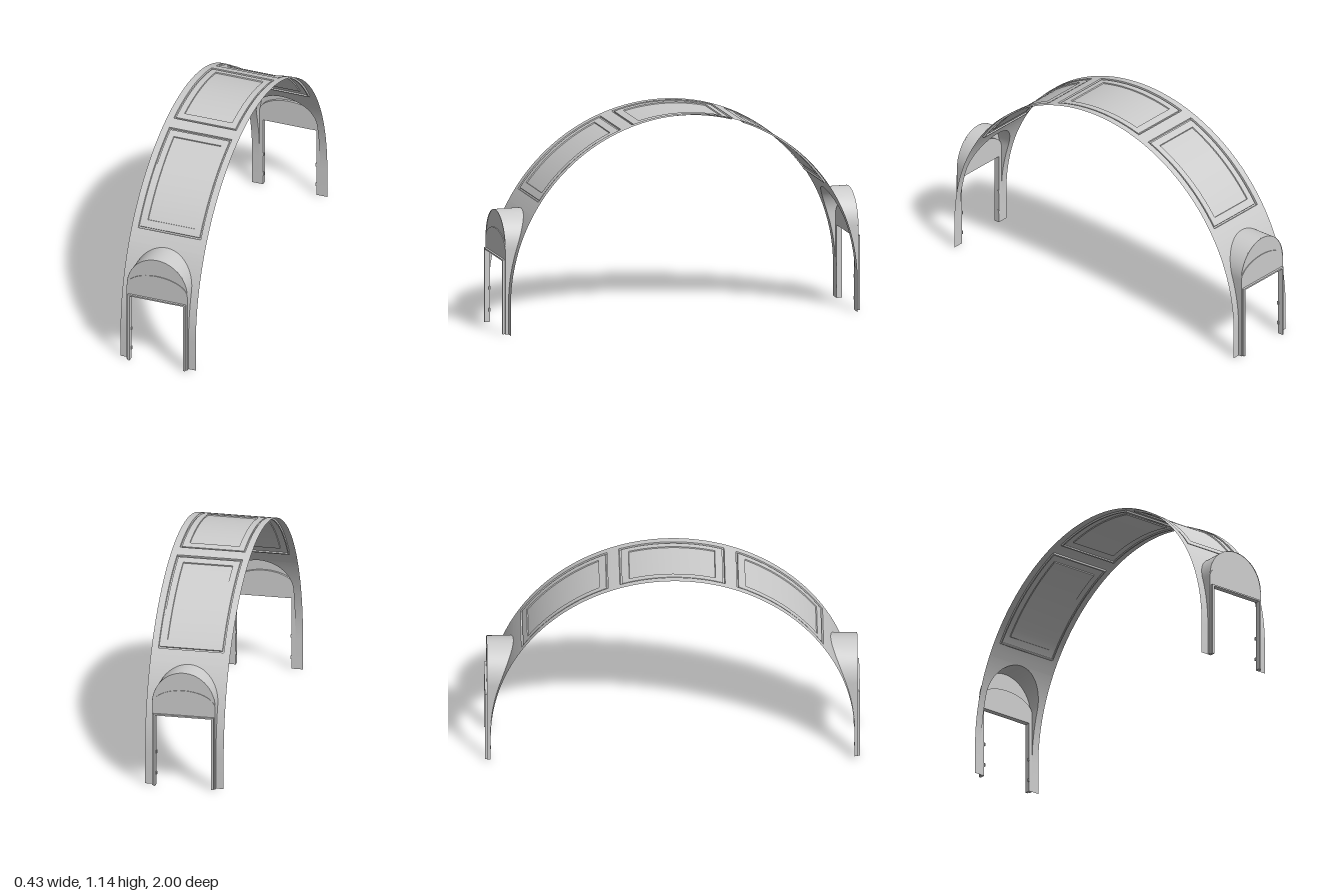
import * as THREE from 'three';
import { toCreasedNormals } from 'three/addons/utils/BufferGeometryUtils.js';

const R = 0.97, CY = 0.17, HALF = 0.215;   // arch radius, spring height, half width
const HOOD_W = 0.173, HOOD_Y = 0.46, HOOD_H = 0.185, FRONT = 0.988;
const DEG = Math.PI / 180;

const shell = new THREE.MeshStandardMaterial({ color: 0xcccccc, side: THREE.DoubleSide });
shell.name = 'light grey';

function add(group, name, geometry) {
  const mesh = new THREE.Mesh(geometry, shell);
  mesh.name = name;
  group.add(mesh);
  return mesh;
}

// Surface through a grid of points given by rule(i, j)
function gridSurface(rows, cols, rule) {
  const pos = [], idx = [];
  for (let i = 0; i < rows; i++) for (let j = 0; j < cols; j++) pos.push(...rule(i, j));
  for (let i = 0; i < rows - 1; i++) for (let j = 0; j < cols - 1; j++) {
    const a = i * cols + j, b = a + 1, c = a + cols, d = c + 1;
    idx.push(a, c, b, b, c, d);
  }
  const g = new THREE.BufferGeometry();
  g.setAttribute('position', new THREE.Float32BufferAttribute(pos, 3));
  g.setIndex(idx);
  return toCreasedNormals(g, 30 * DEG);
}

const shellZ = y => (y <= CY ? R : Math.sqrt(R * R - (y - CY) ** 2));

// Recessed panels: centre angle and half angle from the crown
const panels = [[-38.45, 17.65], [0, 16.8], [38.45, 17.65]];
const insets = [0, 0.008, 0.043];
const PANEL_X = 0.178, EPS = 0.0007, ARC = 0.83;

function recess(x, angle) {
  for (const [centre, half] of panels) {
    const along = (half - Math.abs(angle - centre)) * DEG * R * ARC;
    const d = Math.min(PANEL_X - Math.abs(x), along);
    if (d > insets[2]) return 0.009;
    if (d > insets[1]) return 0.003;
    if (d > insets[0]) return 0.01;
  }
  return 0;
}

function archSheet() {
  const end = Math.acos((HOOD_Y + HOOD_H - CY) / R) / DEG;
  const angles = [], xs = [-HALF, 0, HALF];
  for (let i = 0; i <= 60; i++) angles.push(-end + (2 * end * i) / 60);
  for (const t of insets) for (const e of [-EPS, EPS]) for (const s of [-1, 1]) {
    xs.push(s * (PANEL_X - t + e));
    for (const [c, h] of panels) angles.push(c + s * (h - (t + e) / (R * ARC * DEG)));
  }
  angles.sort((a, b) => a - b);
  xs.sort((a, b) => a - b);
  return gridSurface(angles.length, xs.length, (i, j) => {
    const r = R - recess(xs[j], angles[i]), t = angles[i] * DEG;
    return [xs[j], CY + r * Math.cos(t), r * Math.sin(t)];
  });
}

// Half outline of the doorway hood, from floor to crown
function hoodOutline() {
  const pts = [0, CY, 0.22, 0.27, 0.32, 0.37, 0.42].map(y => [HOOD_W, y]);
  for (let i = 0; i <= 20; i++) {
    const t = (i / 20) * Math.PI / 2;
    pts.push([HOOD_W * Math.cos(t), HOOD_Y + HOOD_H * Math.sin(t)]);
  }
  return pts;
}

// Plate outline with a flat bottom and an elliptical top
function archedShape(bottom, spring, rise) {
  const s = new THREE.Shape();
  s.moveTo(-HOOD_W, bottom);
  s.lineTo(HOOD_W, bottom);
  s.lineTo(HOOD_W, spring);
  s.absellipse(0, spring, HOOD_W, rise, 0, Math.PI, false);
  s.closePath();
  return s;
}

function box(group, name, w, h, d, x, y, z) {
  add(group, name, new THREE.BoxGeometry(w, h, d)).position.set(x, y, z);
}

function doorway() {
  const g = new THREE.Group();
  g.name = 'doorway';
  const half = hoodOutline();

  for (const s of [-1, 1]) {
    // Leg of the arch beside the opening
    add(g, 'archLeg', gridSurface(half.length, 5, (i, j) => {
      const [x, y] = half[i], k = s > 0 ? j / 4 : 1 - j / 4;
      return [s * (x + (HALF - x) * k), y, shellZ(y)];
    }));
    // Door jamb with its stop and clips
    box(g, 'doorJamb', 0.02, 0.4, 0.018, s * 0.163, 0.2, 0.979);
    box(g, 'doorStop', 0.012, 0.4, 0.012, s * 0.159, 0.2, 0.994);
    for (const y of [0.065, 0.185])
      box(g, 'clip', 0.006, 0.018, 0.01, s * 0.151, y, 0.972);
  }

  // Vaulted hood
  const full = [...half, ...half.slice(0, -1).reverse().map(([x, y]) => [-x, y])];
  add(g, 'hood', gridSurface(full.length, 2, (i, j) => {
    const [x, y] = full[i];
    return [x, y, j ? shellZ(y) : FRONT];
  }));

  // Wall over the door: thin upper plate and thicker lower plate
  add(g, 'upperWall', new THREE.ShapeGeometry(archedShape(0.4, HOOD_Y, HOOD_H), 24)).position.z = 0.984;
  const lower = new THREE.ExtrudeGeometry(archedShape(0.4, 0.455, 0.09),
    { depth: FRONT - 0.97, bevelEnabled: false, curveSegments: 24 });
  add(g, 'lowerWall', toCreasedNormals(lower, 30 * DEG)).position.z = 0.97;
  box(g, 'lintel', 0.33, 0.008, 0.03, 0, 0.402, 0.985);
  return g;
}

export function createModel() {
  const model = new THREE.Group();
  model.name = 'archway';
  add(model, 'archSheet', archSheet());
  for (const turn of [0, Math.PI]) {
    const d = doorway();
    d.rotation.y = turn;
    model.add(d);
  }
  return model;
}
